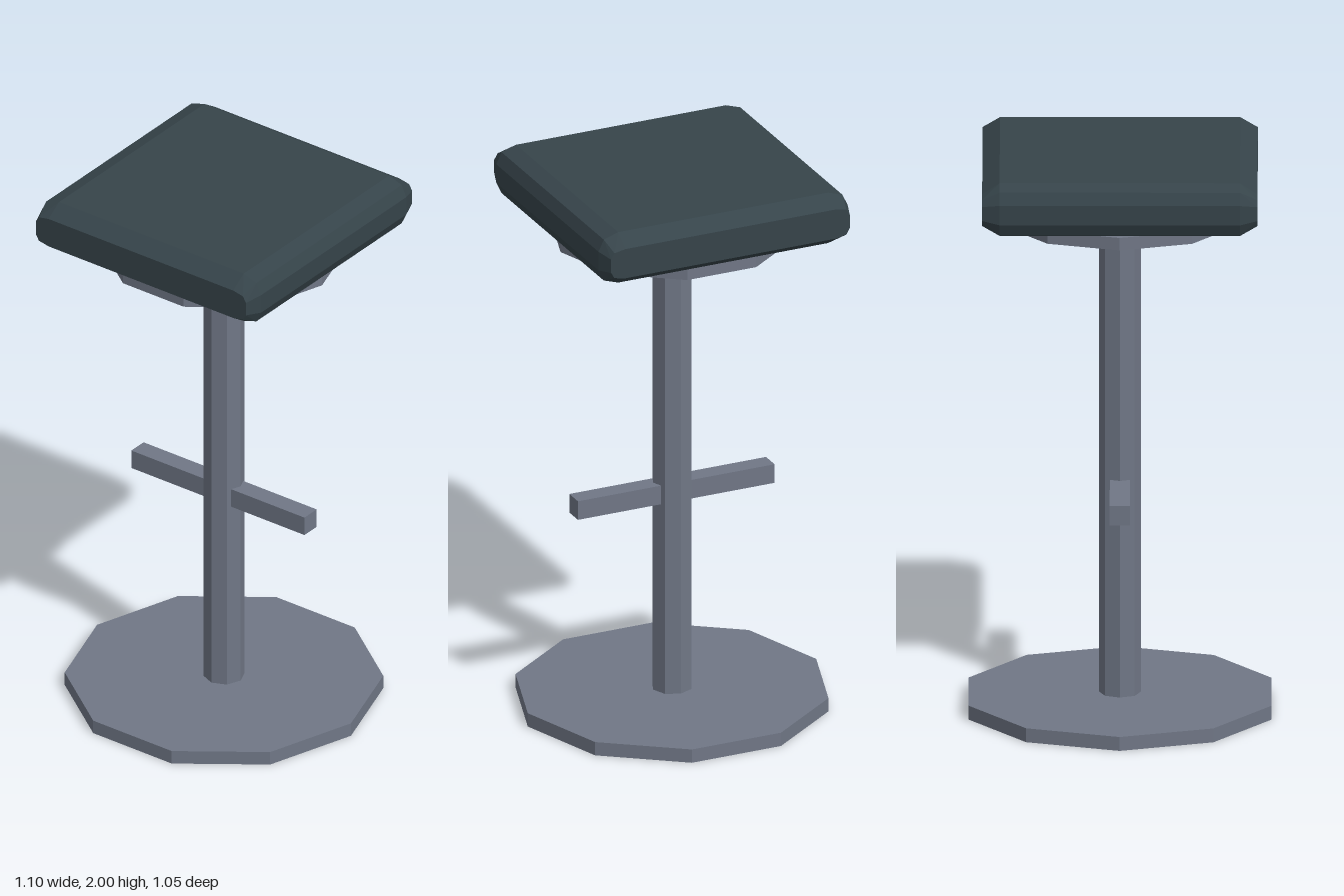
import * as THREE from 'three';
import { ConvexGeometry } from 'three/addons/geometries/ConvexGeometry.js';

const metal = new THREE.MeshStandardMaterial({ color: 0x707786, flatShading: true });
metal.name = 'grey metal';
const leather = new THREE.MeshStandardMaterial({ color: 0x36444a, flatShading: true });
leather.name = 'dark leather';

function part(group, name, geometry, material, y) {
  const mesh = new THREE.Mesh(geometry, material);
  mesh.name = name;
  mesh.position.y = y;
  group.add(mesh);
}

// Upright prism with one corner pointing to +x
function prism(radius, height, sides) {
  return new THREE.CylinderGeometry(radius, radius, height, sides).rotateY(Math.PI / 2);
}

// Cushion: rounded cross-section, tapered at the front and back ends
function cushionGeometry() {
  const middle = [[0.4, 0.095], [0.455, 0.077], [0.475, 0.035]];
  const end = [[0.4, 0.055], [0.442, 0.047], [0.455, 0.025]];
  const points = [];
  for (const [profile, z] of [[middle, 0.415], [end, 0.475]]) {
    for (const [x, y] of profile) {
      for (const sx of [-1, 1]) for (const sy of [-1, 1]) for (const sz of [-1, 1]) {
        points.push(new THREE.Vector3(x * sx, y * sy, z * sz));
      }
    }
  }
  return new ConvexGeometry(points);
}

export function createModel() {
  const stool = new THREE.Group();
  stool.name = 'barStool';
  part(stool, 'basePlate', prism(0.55, 0.05, 10), metal, 0.025);
  part(stool, 'pole', prism(0.072, 1.72, 8), metal, 0.91);
  part(stool, 'footBar', new THREE.BoxGeometry(0.75, 0.07, 0.07), metal, 0.795);
  part(stool, 'seatPlate', prism(0.425, 0.045, 10), metal, 1.7875);
  part(stool, 'seatCushion', cushionGeometry(), leather, 1.905);
  return stool;
}
